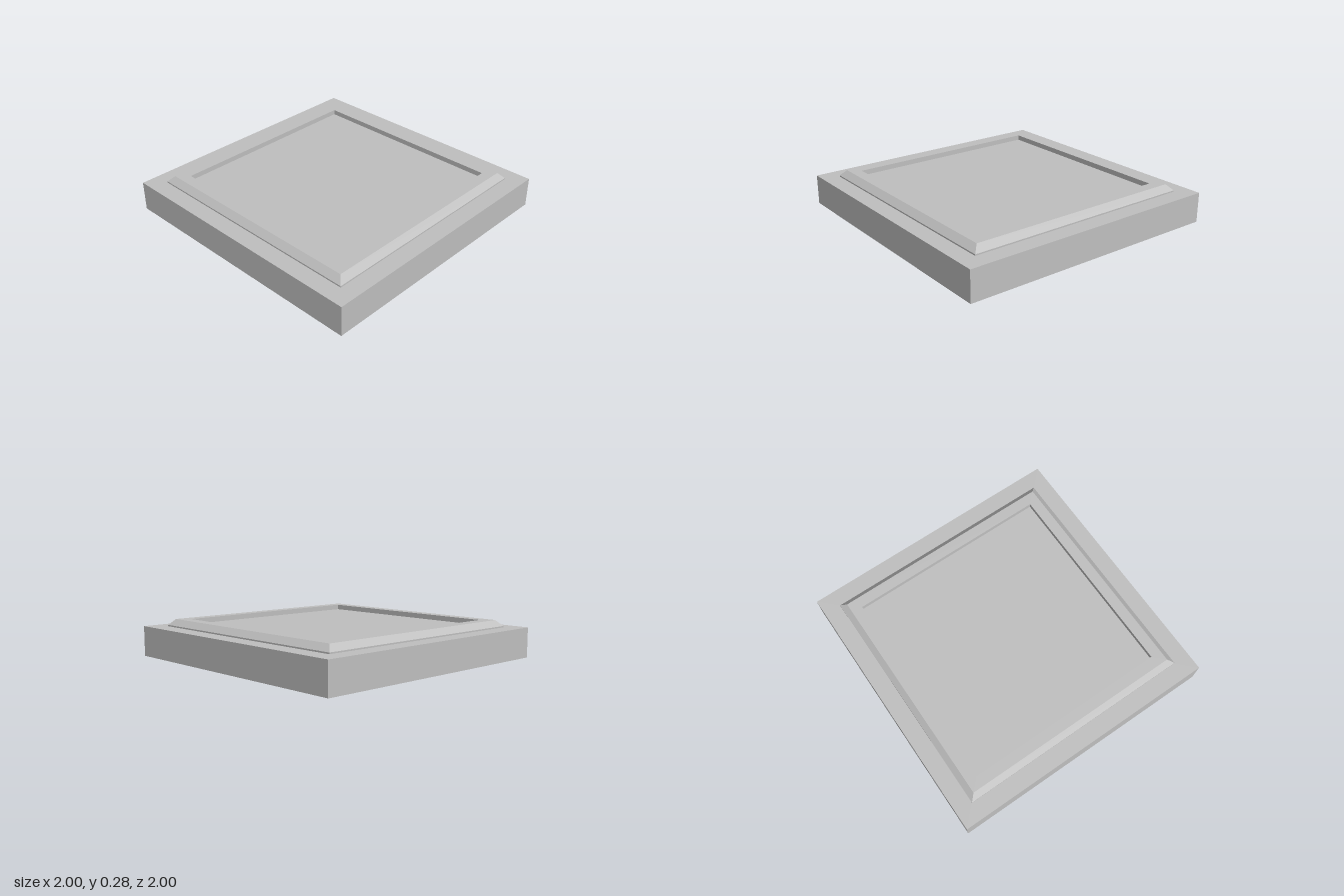
import * as THREE from 'three';

// Square ring: a four-sided lathe of [half width, height] points, run outward below and inward above
function squareLathe(name, profile, material) {
  const points = profile.map(([half, y]) => new THREE.Vector2(half * Math.SQRT2, y));
  const geometry = new THREE.LatheGeometry(points, 4, Math.PI / 4).toNonIndexed();
  geometry.computeVertexNormals();
  const mesh = new THREE.Mesh(geometry, material);
  mesh.name = name;
  return mesh;
}

export function createModel() {
  const group = new THREE.Group();
  group.name = 'squareTile';
  const grey = new THREE.MeshStandardMaterial({ color: 0xc0c0c0, flatShading: true });
  grey.name = 'plain grey';

  // Hollow base with a stepped underside
  group.add(squareLathe('baseShell', [
    [0, 0.19], [0.85, 0.19], [0.85, 0.165], [0.95, 0.165], [0.95, 0],
    [1, 0], [1, 0.223], [0.873, 0.223],
  ], grey));

  // Raised frame with a chamfered outer edge
  group.add(squareLathe('raisedFrame', [
    [0.873, 0.223], [0.873, 0.233], [0.83, 0.277], [0.75, 0.277], [0.75, 0.239],
  ], grey));

  // Recessed centre panel
  group.add(squareLathe('centrePanel', [[0.75, 0.239], [0, 0.239]], grey));

  return group;
}
